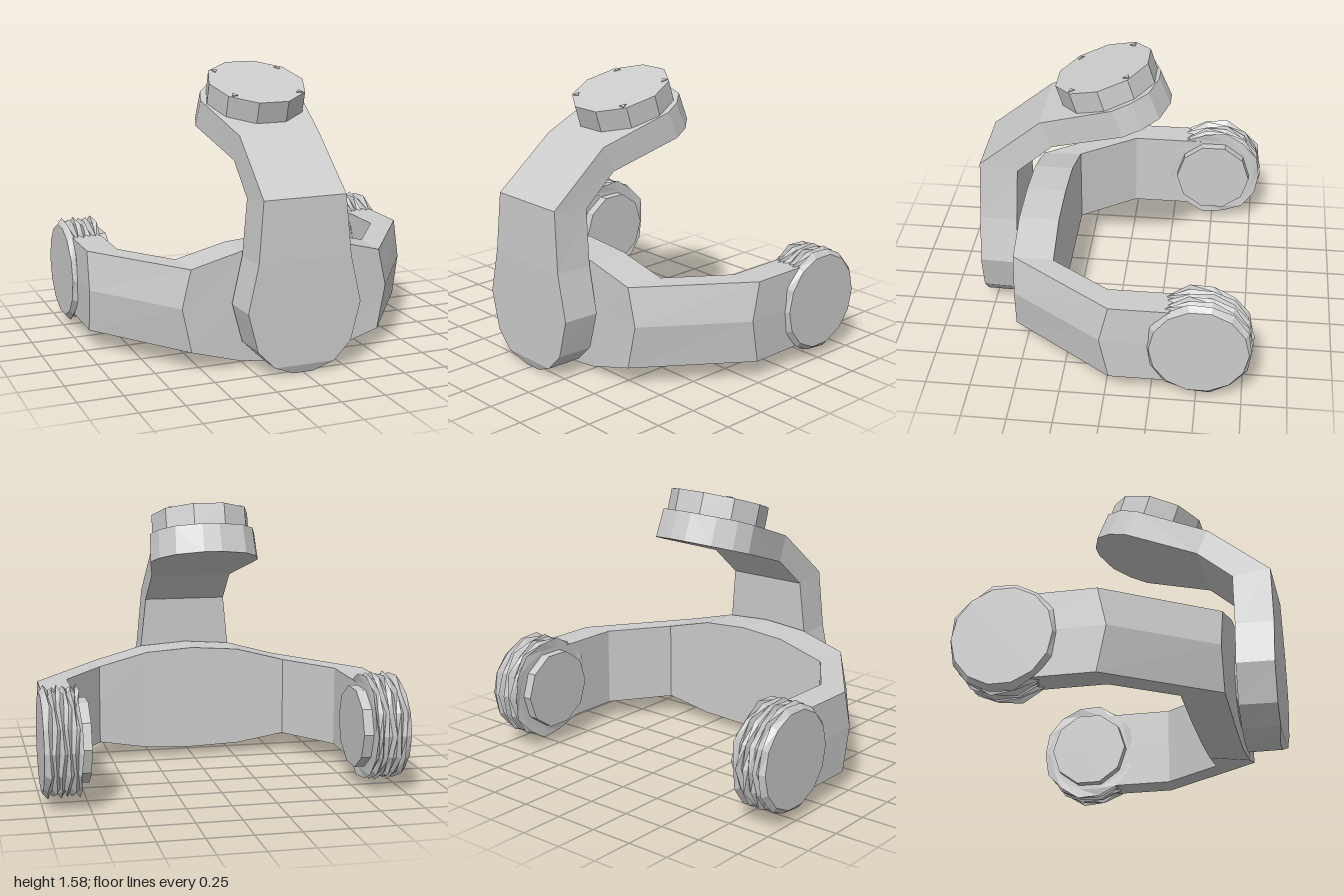
import * as THREE from 'three';

const material = new THREE.MeshStandardMaterial({ color: 0xcccccc, flatShading: true });

function addMesh(parent, geometry, name) {
  const mesh = new THREE.Mesh(geometry, material);
  mesh.name = name;
  parent.add(mesh);
  return mesh;
}

// Skin a list of equal-length rings of [x, y, z] points, closing both ends
function loft(rings) {
  const n = rings[0].length;
  const tris = [];
  for (let i = 0; i < rings.length - 1; i++) {
    for (let j = 0; j < n; j++) {
      const k = (j + 1) % n;
      const a = rings[i][j], b = rings[i][k], c = rings[i + 1][k], d = rings[i + 1][j];
      tris.push([a, b, c], [a, c, d]);
    }
  }
  const first = rings[0], last = rings[rings.length - 1];
  for (let j = 1; j < n - 1; j++) {
    tris.push([first[0], first[j + 1], first[j]], [last[0], last[j], last[j + 1]]);
  }
  // Signed volume tells whether the skin faces outward
  let volume = 0;
  for (const [a, b, c] of tris) {
    volume += new THREE.Vector3(...a).dot(new THREE.Vector3(...b).cross(new THREE.Vector3(...c)));
  }
  if (volume < 0) tris.forEach((t) => t.reverse());
  const geometry = new THREE.BufferGeometry();
  geometry.setAttribute('position', new THREE.Float32BufferAttribute(tris.flat(2), 3));
  geometry.computeVertexNormals();
  return geometry;
}

// Horizontal U-shaped band, tall at the hub and narrow along both side arms
function yokeGeometry() {
  // outer edge x, z | outer middle x, z | inner x, z | bottom, top | inner bottom
  const half = [
    [0.00, 0.57, 0.00, 0.57, 0.00, 0.34, 0.00, 0.67, 0.05],
    [0.28, 0.57, 0.30, 0.57, 0.28, 0.34, 0.03, 0.65, 0.06],
    [0.56, 0.56, 0.61, 0.555, 0.57, 0.33, 0.11, 0.575, 0.11],
    [0.97, -0.02, 0.975, 0.03, 0.80, 0.00, 0.11, 0.575, 0.11],
    [0.97, -0.42, 0.975, -0.42, 0.80, -0.42, 0.11, 0.575, 0.11],
  ];
  const ring = (s) => ([ox, oz, mx, mz, ix, iz, y0, y1, iy0]) => [
    [s * ox, y0, oz], [s * mx, 0.36, mz], [s * ox, y1, oz],
    [s * ix, y1, iz], [s * ix, 0.36, iz], [s * ix, iy0, iz],
  ];
  return loft([...half.slice(1).reverse().map(ring(-1)), ...half.map(ring(1))]);
}

// Upright arm: round foot, straight neck, bend, then a rounded sloping head
function armGeometry() {
  // front z, y | back z, y | half width
  const stations = [
    [0.78, 0.00, 0.59, 0.00, 0.06],
    [0.80, 0.05, 0.59, 0.05, 0.18],
    [0.80, 0.15, 0.59, 0.15, 0.28],
    [0.80, 0.37, 0.59, 0.37, 0.338],
    [0.80, 0.63, 0.585, 0.63, 0.277],
    [0.79, 0.97, 0.575, 0.94, 0.245],
    [0.44, 1.255, 0.375, 1.11, 0.24],
    [0.03, 1.395, -0.03, 1.242, 0.315],
    [-0.07, 1.43, -0.13, 1.274, 0.28],
    [-0.16, 1.457, -0.22, 1.303, 0.20],
    [-0.205, 1.472, -0.27, 1.32, 0.05],
  ];
  return loft(stations.map(([fz, fy, bz, by, w]) => [
    [-w * 0.97, fy, fz], [w * 0.97, fy, fz], [w, by, bz], [-w, by, bz],
  ]));
}

// Ridged wheel-like disc with uneven grooves, turned about the x axis
function ridgedDiscGeometry() {
  const profile = [[0, -0.10], [0.25, -0.10]];
  const ridges = 5;
  for (let i = 0; i <= ridges * 2; i++) {
    profile.push([i % 2 ? 0.275 : 0.30, -0.10 + 0.17 * i / (ridges * 2)]);
  }
  profile.push([0.27, 0.10], [0, 0.10]);
  const sides = 14;
  const geometry = new THREE.LatheGeometry(profile.map((p) => new THREE.Vector2(...p)), sides);
  const p = geometry.attributes.position;
  for (let i = 0; i < p.count; i++) {
    const row = i % profile.length;
    const column = Math.floor(i / profile.length) % sides;
    if (row < 2 || row > profile.length - 3) continue;
    const k = 1 + 0.025 * Math.sin(column * 2.7 + row * 1.9);
    p.setXYZ(i, p.getX(i) * k, p.getY(i) + 0.008 * Math.sin(column * 4.1 + row), p.getZ(i) * k * 0.96);
  }
  geometry.rotateZ(-Math.PI / 2);
  geometry.computeVertexNormals();
  return geometry;
}

export function createModel() {
  const model = new THREE.Group();
  model.name = 'bracket';

  addMesh(model, yokeGeometry(), 'yoke');
  addMesh(model, armGeometry(), 'uprightArm');

  // Pivot joining the arm foot to the yoke
  const pivot = addMesh(model, new THREE.CylinderGeometry(0.24, 0.24, 0.08, 12), 'pivot');
  pivot.rotation.x = Math.PI / 2;
  pivot.position.set(0, 0.34, 0.575);

  // Side discs and their inner pads
  const discGeometry = ridgedDiscGeometry();
  const padGeometry = new THREE.CylinderGeometry(0.23, 0.23, 0.09, 10).rotateZ(Math.PI / 2);
  for (const [s, side] of [[1, 'left'], [-1, 'right']]) {
    const end = new THREE.Group();
    end.name = side + 'End';
    end.position.set(s * 0.9, 0.343, -0.51);
    end.rotation.y = s > 0 ? 0 : Math.PI;
    model.add(end);
    addMesh(end, discGeometry, side + 'RidgedDisc');
    const pad = addMesh(end, padGeometry, side + 'InnerPad');
    pad.position.set(-0.11, 0, s * 0.01);
  }

  // Tilted disc on the head, with four small triangular studs
  const head = new THREE.Group();
  head.name = 'headDisc';
  head.position.set(0, 1.438, 0.0925);
  head.rotation.x = THREE.MathUtils.degToRad(18);
  model.add(head);
  const plate = addMesh(head, new THREE.CylinderGeometry(0.284, 0.284, 0.125, 10), 'headPlate');
  plate.rotation.y = Math.PI / 10;
  for (const x of [-0.195, 0.195]) {
    for (const z of [-0.16, 0.16]) {
      const stud = addMesh(head, new THREE.CylinderGeometry(0.022, 0.022, 0.01, 3), 'stud');
      stud.position.set(x, 0.063, z);
      stud.rotation.y = Math.atan2(x, z);
    }
  }
  return model;
}
